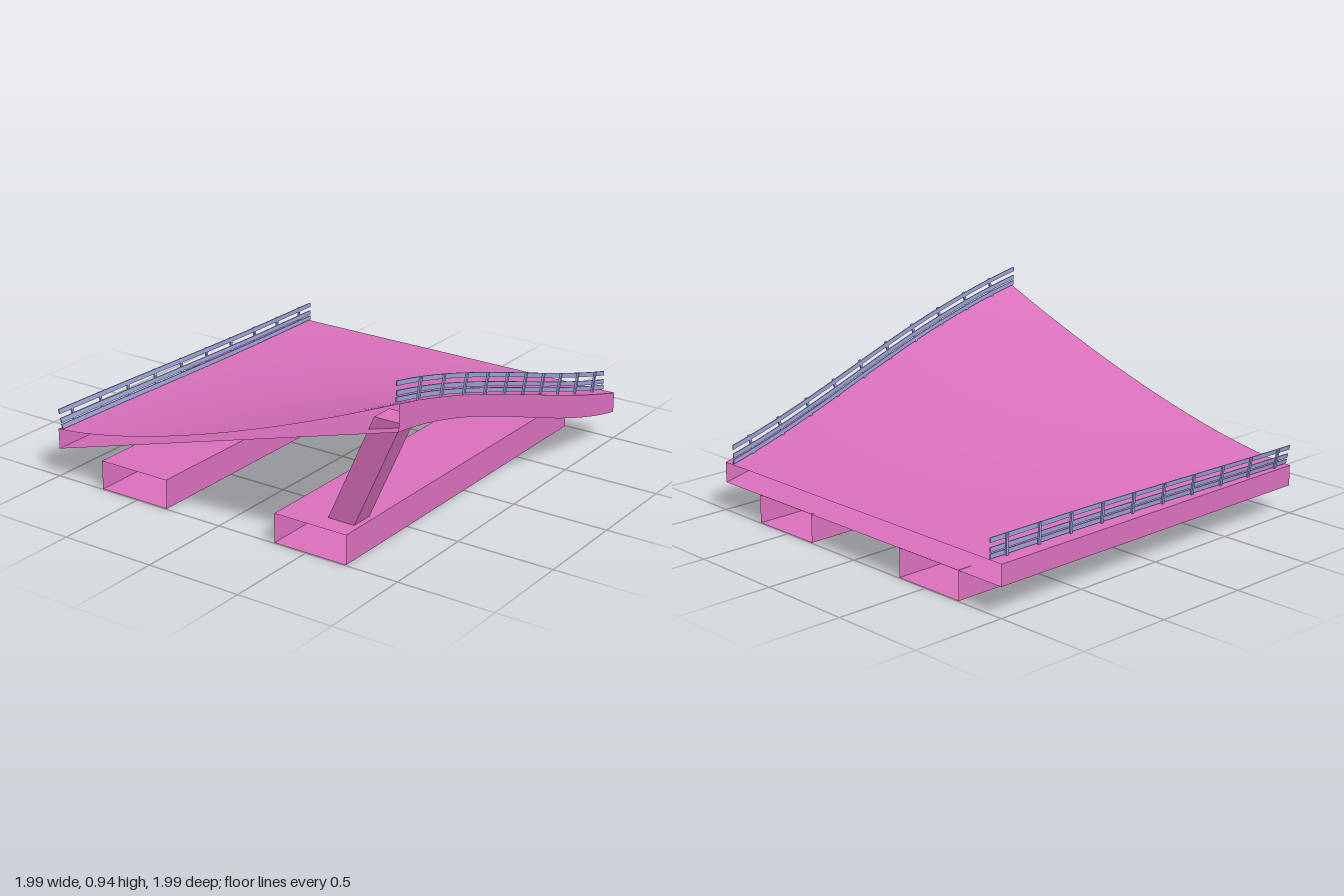
import * as THREE from 'three';
import { ParametricGeometry } from 'three/addons/geometries/ParametricGeometry.js';

const HALF = 0.995;
const pink = new THREE.MeshStandardMaterial({ color: 0xd86fba, side: THREE.DoubleSide });
const blue = new THREE.MeshStandardMaterial({ color: 0x9a9fd4, side: THREE.DoubleSide });

// Deck heights: one corner (-x, +z) is raised, the two far edges stay level.
const across = (x) => (HALF - x) / (2 * HALF);
const along = (z) => Math.max(0, (z + HALF) / (2 * HALF));
function topY(x, z) {
  const t = across(x);
  return 0.25 + 0.59 * (t + 0.5 * t * (1 - t) * (t - 0.25)) * Math.pow(along(z), 1.45);
}
function bottomY(x, z) {
  const t = across(x);
  return 0.145 + 0.565 * (t + t * (1 - t) * (t - 0.35)) * along(z);
}

function add(parent, name, geometry, material) {
  const mesh = new THREE.Mesh(geometry, material);
  mesh.name = name;
  parent.add(mesh);
  return mesh;
}

// Twisted deck shell, open at both x ends
function makeDeck() {
  const deck = new THREE.Group();
  deck.name = 'deck';
  const at = (u) => (u * 2 - 1) * HALF;
  const sheet = (heightAt, flip) => new ParametricGeometry((u, v, p) => {
    const x = at(flip ? 1 - u : u), z = at(1 - v);
    p.set(x, heightAt(x, z), z);
  }, 40, 40);
  add(deck, 'roadSurface', sheet(topY, false), pink);
  add(deck, 'deckUnderside', sheet(bottomY, true), pink);
  for (const side of [1, -1]) {
    const z = side * HALF;
    const wall = new ParametricGeometry((u, v, p) => {
      const x = at(side > 0 ? u : 1 - u);
      p.set(x, THREE.MathUtils.lerp(bottomY(x, z), topY(x, z), v), z);
    }, 40, 1);
    add(deck, side > 0 ? 'frontEdge' : 'backEdge', wall, pink);
  }
  return deck;
}

// Hollow foundation beam with open ends
function makeBeam(z) {
  const beam = new THREE.Group();
  beam.name = 'foundationBeam';
  const w = 0.4, h = 0.148, half = Math.PI / 2;
  const panel = (name, depth, y, dz, rx) => {
    const mesh = add(beam, name, new THREE.PlaneGeometry(2 * HALF, depth), pink);
    mesh.position.set(0, y, z + dz);
    mesh.rotation.x = rx;
  };
  panel('beamTop', w, h, 0, -half);
  panel('beamBottom', w, 0, 0, half);
  panel('beamFront', h, h / 2, w / 2, 0);
  panel('beamBack', h, h / 2, -w / 2, Math.PI);
  return beam;
}

// Support leaning forward beneath the raised corner
function makeSupport() {
  const geometry = new THREE.BoxGeometry(0.12, 0.6, 0.145);
  const p = geometry.attributes.position;
  for (let i = 0; i < p.count; i++) p.setZ(i, p.getZ(i) + 0.45 * p.getY(i));
  geometry.translate(-0.83, 0.4, 0.733);
  geometry.computeVertexNormals();
  return geometry;
}

// Guard rail: pathZ gives its line in plan, lean its outward tilt
function makeRail(name, side, pathZ, lean, firstPost, step) {
  const rail = new THREE.Group();
  rail.name = name;
  const baseY = (x) => topY(x, side > 0 ? HALF : -HALF);
  const zAt = (x, h) => pathZ(x) + side * lean * across(x) * h / 0.1;

  for (const [label, height] of [['lowerRail', 0.017], ['middleRail', 0.047], ['topRail', 0.092]]) {
    const geometry = new THREE.BoxGeometry(2 * HALF, 0.023, 0.006, 40, 1, 1);
    const p = geometry.attributes.position;
    for (let i = 0; i < p.count; i++) {
      const x = p.getX(i), h = height + p.getY(i);
      p.setXYZ(i, x, baseY(x) + h, zAt(x, h) + p.getZ(i));
    }
    geometry.computeVertexNormals();
    add(rail, label, geometry, blue);
  }

  for (let i = 0; i < 10; i++) {
    const x = firstPost + i * step;
    const slope = (baseY(x + 0.01) - baseY(x - 0.01)) / 0.02;
    const post = add(rail, 'railPost', new THREE.BoxGeometry(0.013, 0.104, 0.01), blue);
    post.position.set(x, baseY(x) + 0.05, zAt(x, 0.05) + side * 0.007);
    post.rotation.set(side * Math.atan(lean * across(x) / 0.1), 0, Math.atan(slope));
  }
  return rail;
}

export function createModel() {
  const model = new THREE.Group();
  model.name = 'bankedRamp';
  model.add(makeDeck());
  for (const z of [0.52, -0.52]) model.add(makeBeam(z));
  add(model, 'leaningSupport', makeSupport(), pink);

  const ease = THREE.MathUtils.smoothstep;
  model.add(makeRail('frontGuardRail', 1, (x) => 0.981 - 0.051 * ease(x, -0.45, 0.9), 0, -0.825, 0.189));
  model.add(makeRail('backGuardRail', -1, (x) => -0.967 + 0.043 * ease(x, -1.1, 0.6), 0.022, -0.9, 0.2));
  return model;
}
